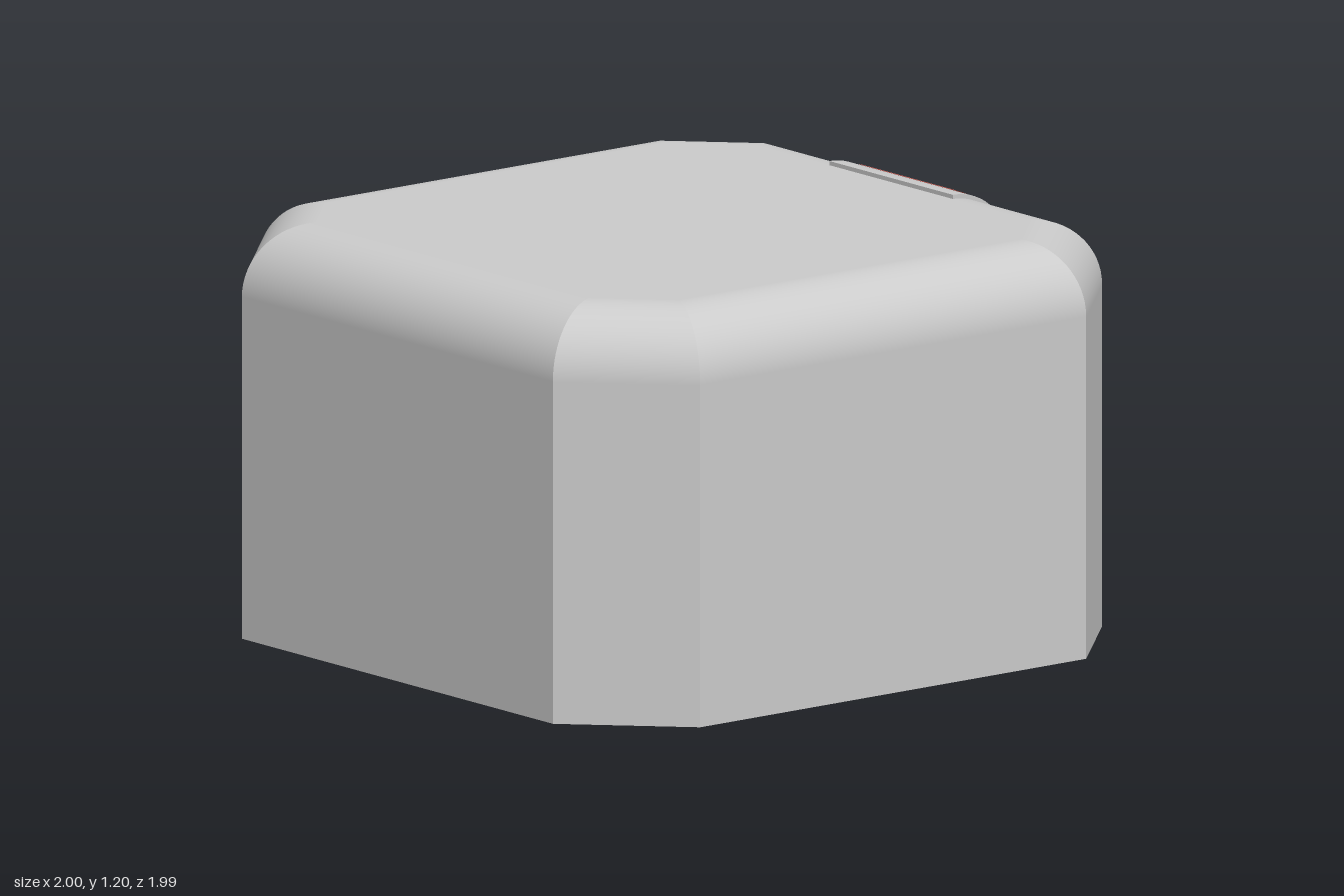
import * as THREE from 'three';
import { toCreasedNormals } from 'three/addons/utils/BufferGeometryUtils.js';

const CX = -0.007, HALF = 0.993, CUT = 0.295;   // clipped-corner square footprint
const SEAM = 0.975, ARC_Y = 0.988, ROUND = 0.2; // lid seam and rounded top edge
const ARC_X = CX + HALF - ROUND;                // centre of the right-hand rounding

// Footprint corners as [x, z], moved inward by d
function footprint(d) {
  const h = HALF - d, k = HALF - CUT - d * Math.tan(Math.PI / 8);
  return [[h, -k], [h, k], [k, h], [-k, h], [-h, k], [-h, -k], [-k, -h], [k, -h]]
    .map(([x, z]) => [x + CX, z]);
}

// Horizontal shape of the footprint (its y becomes -z when laid flat)
function footprintShape(d) {
  return new THREE.Shape(footprint(d).map(([x, z]) => new THREE.Vector2(x, -z)));
}

// Eight mitred quarter-round strips
function lidEdge() {
  const steps = 16, pos = [], nor = [], idx = [];
  const rings = [{ a: 0, y: SEAM }];
  for (let i = 0; i <= steps; i++) {
    const a = (i / steps) * Math.PI / 2;
    rings.push({ a, y: ARC_Y + ROUND * Math.sin(a) });
  }
  for (let s = 0; s < 8; s++) {
    const base = pos.length / 3;
    const dir = -s * Math.PI / 4;
    rings.forEach(({ a, y }, i) => {
      const pts = footprint(ROUND * (1 - Math.cos(a)));
      for (const [x, z] of [pts[s], pts[(s + 1) % 8]]) {
        pos.push(x, y, z);
        nor.push(Math.cos(a) * Math.cos(dir), Math.sin(a), -Math.cos(a) * Math.sin(dir));
      }
      if (i > 0) {
        const p = base + (i - 1) * 2;
        idx.push(p, p + 2, p + 1, p + 1, p + 2, p + 3);
      }
    });
  }
  const g = new THREE.BufferGeometry();
  g.setAttribute('position', new THREE.Float32BufferAttribute(pos, 3));
  g.setAttribute('normal', new THREE.Float32BufferAttribute(nor, 3));
  g.setIndex(idx);
  return g;
}

// Thin curved plate wrapped over the rounded edge
function plateGeometry(radius, halfWidth) {
  const s = new THREE.Shape();
  s.moveTo(ARC_X + ROUND - 0.01, SEAM - 0.003);
  s.lineTo(ARC_X + radius, SEAM - 0.003);
  s.lineTo(ARC_X + radius, ARC_Y);
  s.absarc(ARC_X, ARC_Y, radius, 0, Math.PI / 2, false);
  s.lineTo(ARC_X, ARC_Y + ROUND - 0.01);
  s.absarc(ARC_X, ARC_Y, ROUND - 0.01, Math.PI / 2, 0, true);
  const g = new THREE.ExtrudeGeometry(s, { depth: halfWidth * 2, bevelEnabled: false, curveSegments: 20 });
  g.translate(0, 0, -halfWidth);
  return toCreasedNormals(g, 0.5);
}

// Rounded rectangle bent around the plate
function panelGeometry(radius, halfWidth, a0, a1, corner) {
  const g = new THREE.PlaneGeometry(1, 1, 1, 48);
  const p = g.attributes.position;
  const len = radius * (a1 - a0);
  for (let i = 0; i < p.count; i++) {
    const v = p.getY(i) + 0.5, a = a0 + v * (a1 - a0);
    const e = Math.max(0, corner - Math.min(v, 1 - v) * len);
    const w = halfWidth - corner + Math.sqrt(Math.max(0, corner * corner - e * e));
    p.setXYZ(i, ARC_X + radius * Math.cos(a), ARC_Y + radius * Math.sin(a), -2 * p.getX(i) * w);
  }
  g.computeVertexNormals();
  return g;
}

export function createModel() {
  const group = new THREE.Group();
  const grey = new THREE.MeshStandardMaterial({ color: 0xcccccc });
  const red = new THREE.MeshStandardMaterial({ color: 0xd9655a, side: THREE.DoubleSide });
  const add = (name, geometry, material, parent = group) => {
    const mesh = new THREE.Mesh(geometry, material);
    mesh.name = name;
    parent.add(mesh);
    return mesh;
  };

  // Straight-sided body
  const body = new THREE.ExtrudeGeometry(footprintShape(0), { depth: SEAM, bevelEnabled: false });
  body.rotateX(-Math.PI / 2);
  add('body', body, grey);

  // Lid: rounded edge and flat top
  const lid = new THREE.Group();
  lid.name = 'lid';
  group.add(lid);
  add('lidEdge', lidEdge(), grey, lid);
  const top = new THREE.ShapeGeometry(footprintShape(ROUND));
  top.rotateX(-Math.PI / 2);
  top.translate(0, ARC_Y + ROUND, 0);
  add('lidTop', top, grey, lid);

  // Curved latch plate with its red panel on the +x edge
  const latch = new THREE.Group();
  latch.name = 'latch';
  group.add(latch);
  add('latchPlate', plateGeometry(0.212, 0.277), grey, latch);
  add('latchPanel', panelGeometry(0.214, 0.22, 0.25, 1.34, 0.025), red, latch);

  return group;
}
